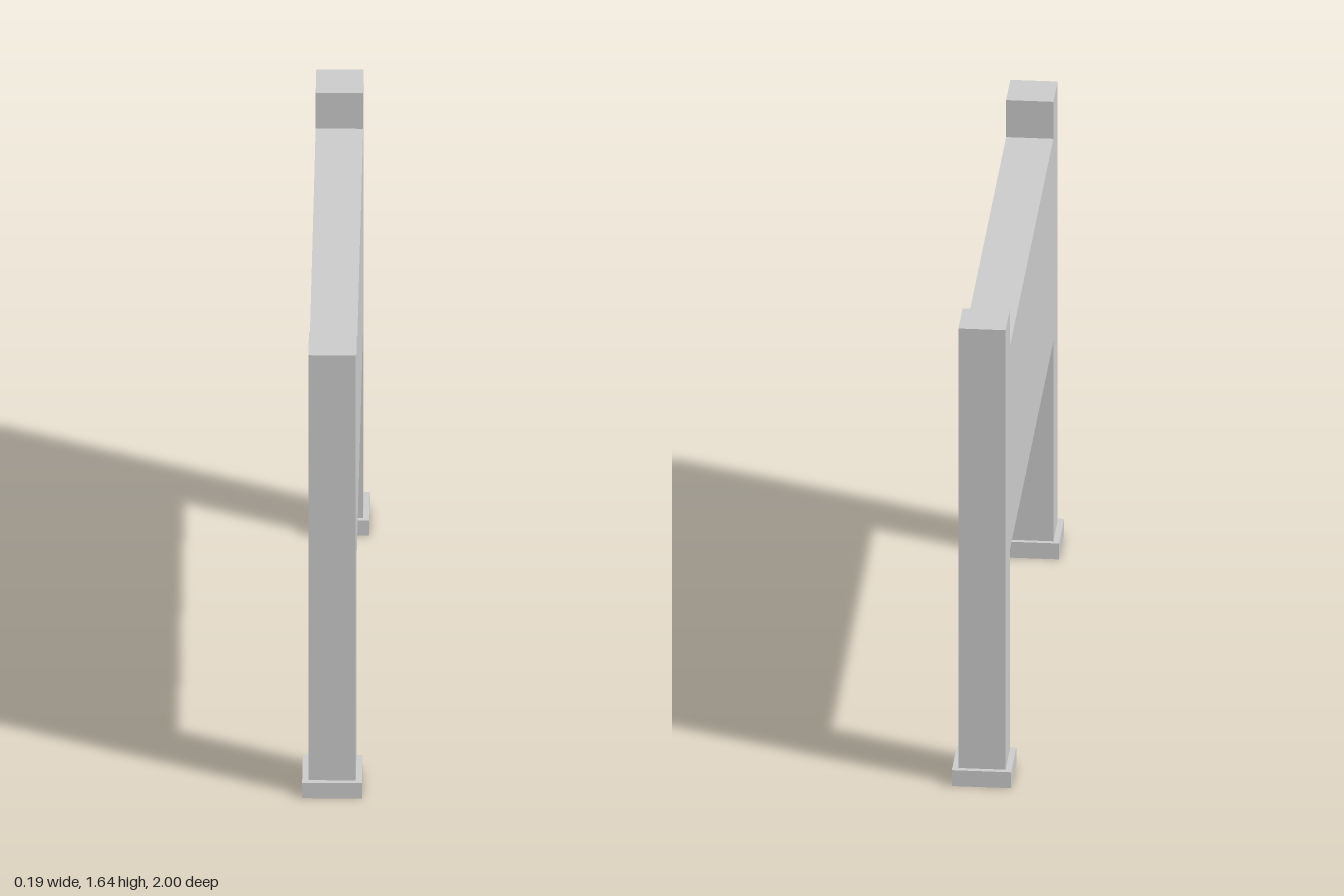
import * as THREE from 'three';

const material = new THREE.MeshStandardMaterial({ color: 0xcccccc, flatShading: true });

// Box given by its width, bottom and top height, and z range
function box(name, width, y0, y1, z0, z1) {
  const mesh = new THREE.Mesh(new THREE.BoxGeometry(width, y1 - y0, z1 - z0), material);
  mesh.name = name;
  mesh.position.set(0, (y0 + y1) / 2, (z0 + z1) / 2);
  return mesh;
}

export function createModel() {
  const model = new THREE.Group();
  model.name = 'panelOnPosts';

  const footTop = 0.057, postTop = 1.638;
  const postInner = 0.821, postOuter = 0.981, thickness = 0.155;

  // Wide panel, flush with the faces of the posts
  model.add(box('panel', thickness, 0.775, 1.505, -postInner, postInner));

  // A post on a square foot at each end
  for (const [end, side] of [['front', 1], ['back', -1]]) {
    const support = new THREE.Group();
    support.name = `${end}Support`;
    support.add(
      box(`${end}Post`, thickness, footTop, postTop, postInner, postOuter),
      box(`${end}Foot`, 0.195, 0, footTop, 0.805, 1)
    );
    if (side < 0) support.rotation.y = Math.PI;
    model.add(support);
  }

  return model;
}
